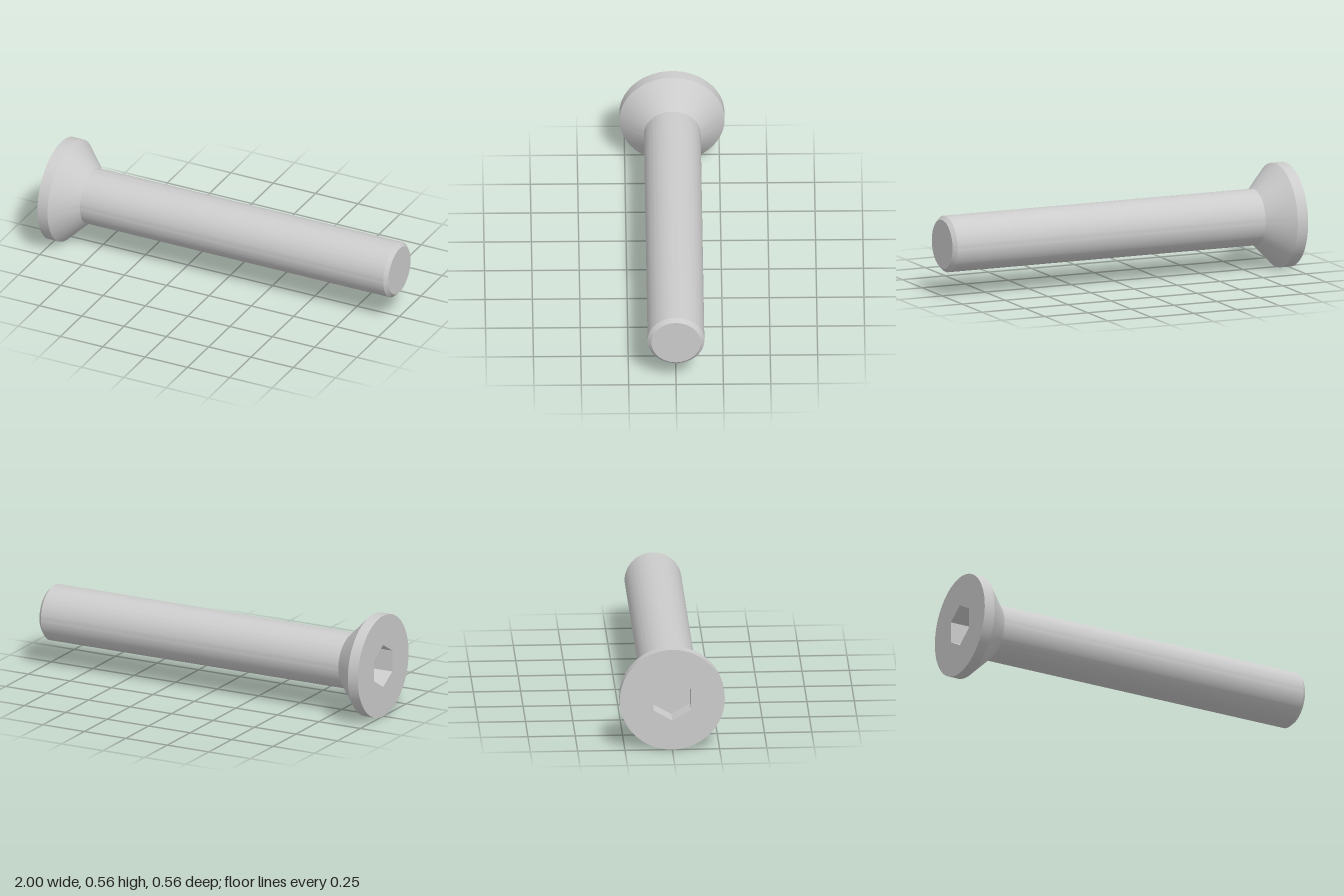
import * as THREE from 'three';
import { toCreasedNormals } from 'three/addons/utils/BufferGeometryUtils.js';

const HEAD_R = 0.2775, SHANK_R = 0.15, TIP_R = 0.13;
const HEX_R = 0.1155, HEX_DEPTH = 0.11, SEGMENTS = 96;

export function createModel() {
  const group = new THREE.Group();
  const material = new THREE.MeshStandardMaterial({ color: 0xcccccc });

  const add = (name, geometry, mat = material) => {
    const mesh = new THREE.Mesh(geometry, mat);
    mesh.name = name;
    mesh.position.y = HEAD_R;
    group.add(mesh);
    return mesh;
  };

  // Surface turned about the x axis from [x, radius] pairs
  const turned = (profile) => {
    const points = profile.map(([x, r]) => new THREE.Vector2(r, x));
    const geometry = new THREE.LatheGeometry(points, SEGMENTS).rotateZ(-Math.PI / 2);
    return toCreasedNormals(geometry, Math.PI / 6);
  };

  // Countersunk head: short rim and 45 degree cone
  add('head', turned([[-1, HEAD_R], [-0.94, HEAD_R], [-0.8125, SHANK_R]]));

  // Shank with chamfered, closed tip
  add('shank', turned([[-0.8125, SHANK_R], [0.98, SHANK_R], [1, TIP_R], [1, 0]]));

  // Flat head face with a hexagonal opening
  const face = new THREE.Shape().absarc(0, 0, HEAD_R, 0, Math.PI * 2);
  const corners = Array.from({ length: 6 }, (_, i) => {
    const a = Math.PI / 2 + i * Math.PI / 3;
    return new THREE.Vector2(HEX_R * Math.cos(a), HEX_R * Math.sin(a));
  });
  face.holes.push(new THREE.Path(corners));
  add('headFace', new THREE.ShapeGeometry(face, SEGMENTS).rotateY(-Math.PI / 2).translate(-1, 0, 0));

  // Hexagonal socket: walls seen from inside, and a flat floor
  const wallMaterial = new THREE.MeshStandardMaterial({
    color: 0xcccccc, flatShading: true, side: THREE.DoubleSide,
  });
  const walls = new THREE.CylinderGeometry(HEX_R, HEX_R, HEX_DEPTH, 6, 1, true, Math.PI / 2);
  add('socketWalls', walls.rotateZ(-Math.PI / 2).translate(-1 + HEX_DEPTH / 2, 0, 0), wallMaterial);
  const floor = new THREE.CircleGeometry(HEX_R, 6, Math.PI / 2);
  add('socketFloor', floor.rotateY(-Math.PI / 2).translate(-1 + HEX_DEPTH, 0, 0));

  return group;
}
